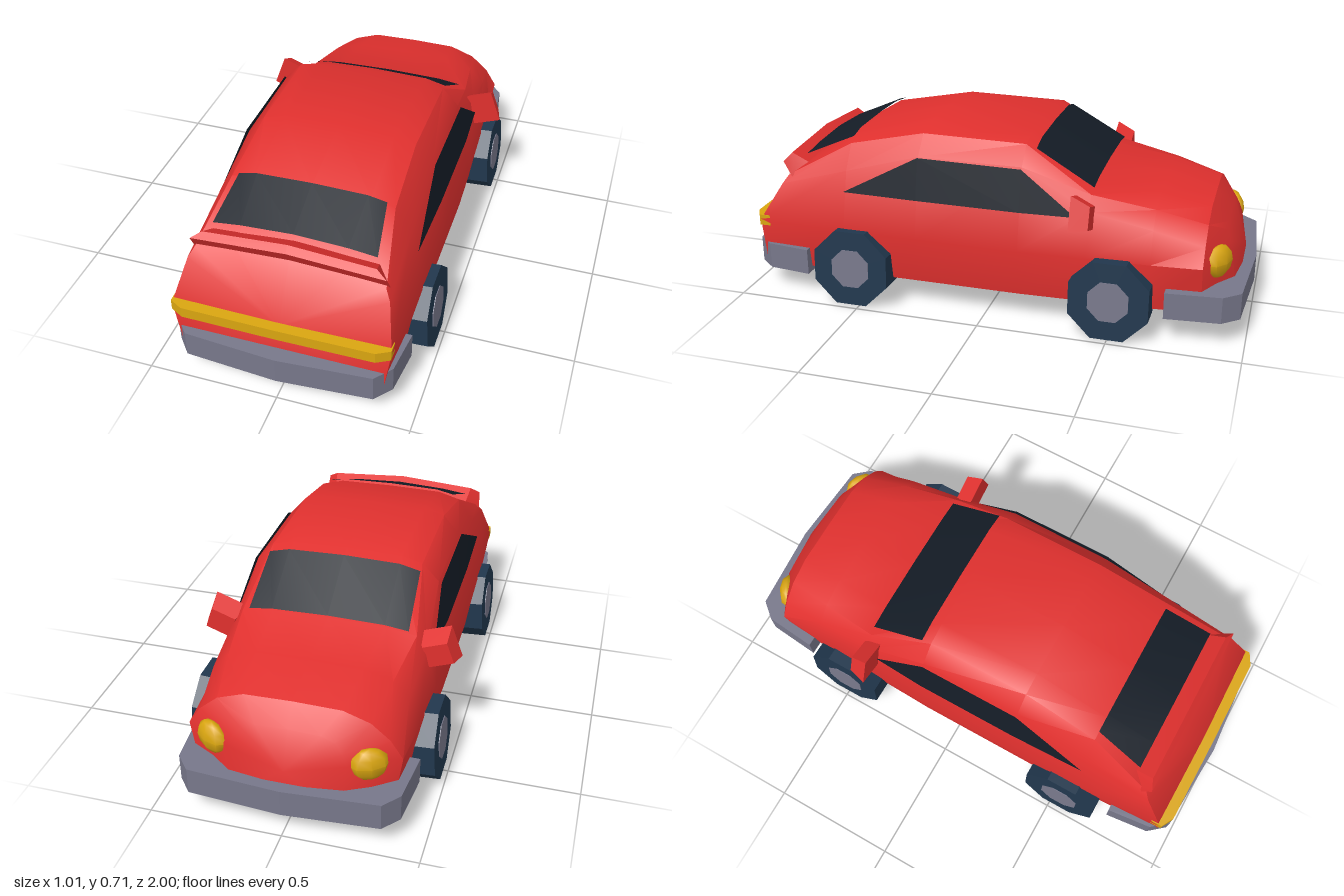
import * as THREE from 'three';
import { toCreasedNormals } from 'three/addons/utils/BufferGeometryUtils.js';

const mat = (color, side = THREE.FrontSide) => new THREE.MeshStandardMaterial({ color, side });
const red = mat(0xe0302e);
const glass = mat(0x141c26, THREE.DoubleSide);
const tyreMat = mat(0x21374d);
const grey = mat(0x77778a);
const yellow = mat(0xd9a510);

// Surface through rows of [x, y, z] points; wrap closes each row into a ring
function sheet(rows, wrap = false, crease = 0.55) {
  const n = rows[0].length;
  const pos = [];
  for (let i = 0; i < rows.length - 1; i++) {
    for (let j = 0; j < (wrap ? n : n - 1); j++) {
      const k = (j + 1) % n;
      const [a, b, c, d] = [rows[i][j], rows[i + 1][j], rows[i + 1][k], rows[i][k]];
      pos.push(...a, ...b, ...c, ...a, ...c, ...d);
    }
  }
  const g = new THREE.BufferGeometry();
  g.setAttribute('position', new THREE.Float32BufferAttribute(pos, 3));
  return toCreasedNormals(g, crease);
}

// Closed solid through rings, each end fanned to a centre point
function loft(rings, ends, crease) {
  const mid = (r) => [0, 1, 2].map((k) => r.reduce((s, p) => s + p[k], 0) / r.length);
  const last = rings[rings.length - 1];
  const [c0, c1] = ends ?? [mid(rings[0]), mid(last)];
  return sheet([rings[0].map(() => c0), ...rings, last.map(() => c1)], true, crease);
}

const mirrorRow = (half) => [...half, ...half.slice(0, -1).reverse().map(([x, y, z]) => [-x, y, z])];

// Stations from tail to nose: z, sill half-width, shoulder x y, roof edge x y, top x y
const STATIONS = [
  [0.94, 0.41, 0.375, 0.45, 0.355, 0.485, 0.2, 0.505],
  [0.57, 0.43, 0.37, 0.53, 0.31, 0.625, 0.22, 0.65],
  [0.27, 0.43, 0.365, 0.615, 0.30, 0.69, 0.215, 0.71],
  [-0.14, 0.43, 0.365, 0.615, 0.30, 0.685, 0.215, 0.705],
  [-0.40, 0.42, 0.38, 0.47, 0.34, 0.525, 0.22, 0.545],
  [-0.64, 0.41, 0.37, 0.42, 0.31, 0.48, 0.2, 0.513],
  [-0.83, 0.395, 0.35, 0.37, 0.28, 0.43, 0.18, 0.465],
  [-0.95, 0.22, 0.2, 0.34, 0.17, 0.375, 0.12, 0.39],
];

function bodyGeometry() {
  const rings = STATIONS.map(([z, w, sx, sy, rx, ry, tx, ty], i) => {
    // the tail leans forward above the lamp strip, the nose leans back
    const lean = (y) => {
      if (i === 0) return z - Math.max(0, y - 0.31) * 0.65;
      if (i === STATIONS.length - 1) return z + Math.max(0, y - 0.2) * 0.3;
      return z;
    };
    const half = [[0.93 * w, 0.11], [w, 0.3], [sx, sy], [rx, ry], [tx, ty], [0, ty + 0.004]];
    return mirrorRow(half.map(([x, y]) => [x, y, lean(y)]));
  });
  return loft(rings, [[0, 0.31, 0.94], [0, 0.26, -0.955]], 0.6);
}

// Bumper: plan outline extruded upward; dir is +1 at the tail, -1 at the nose
function bumperGeometry(dir, inner, y) {
  const half = [[0.43, inner], [0.41, 0.91], [0.355, 0.975], [0, 1]];
  const outline = mirrorRow(half.map(([x, z]) => [x, z, 0]));
  const shape = new THREE.Shape(outline.map(([x, z]) => new THREE.Vector2(x, -z * dir)));
  const g = new THREE.ExtrudeGeometry(shape, { depth: 0.105, bevelEnabled: false });
  g.rotateX(-Math.PI / 2);
  g.translate(0, y, 0);
  return g;
}

function octagonDisc(radius, width) {
  const g = new THREE.CylinderGeometry(radius, radius, width, 8);
  g.rotateY(Math.PI / 8);
  g.rotateZ(Math.PI / 2);
  return toCreasedNormals(g, 0.5);
}

// Mirror housing: box narrowing toward the nose
function mirrorGeometry() {
  const g = new THREE.BoxGeometry(0.13, 0.133, 0.07).toNonIndexed();
  const p = g.attributes.position;
  for (let i = 0; i < p.count; i++) {
    if (p.getZ(i) < 0) p.setXYZ(i, p.getX(i) * 0.75, p.getY(i) * 0.65 - 0.01, p.getZ(i));
  }
  g.computeVertexNormals();
  return g;
}

export function createModel() {
  const model = new THREE.Group();
  const add = (name, geometry, material, parent = model) => {
    const mesh = new THREE.Mesh(geometry, material);
    mesh.name = name;
    parent.add(mesh);
    return mesh;
  };

  add('body', bodyGeometry(), red);
  add('rearBumper', bumperGeometry(1, 0.735, 0.09), grey);
  add('frontBumper', bumperGeometry(-1, 0.7, 0.1), grey);

  // Windscreen and rear window lie just above the body
  add('windscreen', sheet([
    mirrorRow([[0.3, 0.672, -0.18], [0.22, 0.692, -0.18], [0, 0.698, -0.18]]),
    mirrorRow([[0.31, 0.543, -0.405], [0.22, 0.555, -0.405], [0, 0.56, -0.405]]),
  ]), glass);
  add('rearWindow', sheet([
    mirrorRow([[0.305, 0.562, 0.765], [0.2, 0.575, 0.765], [0, 0.585, 0.765]]),
    mirrorRow([[0.28, 0.645, 0.57], [0.21, 0.66, 0.57], [0, 0.665, 0.57]]),
  ]), glass);

  // Tail spoiler, slightly raised in the middle
  const lip = [[0.31, 0.525, 0.755], [0.32, 0.565, 0.825], [0.36, 0.54, 0.845], [0.365, 0.48, 0.81]];
  add('spoiler', loft([1, 0, -1].map((s) =>
    lip.map(([x, y, z]) => [s * x, s ? y : y + 0.022, z])), null, 0.4), red);

  // Tail lamp strip with angled ends
  const strip = [[0.41, 0.945], [0.36, 0.972], [0, 0.975], [-0.36, 0.972], [-0.41, 0.945]];
  add('tailLampStrip', loft(strip.map(([x, z]) =>
    [[x, 0.318, 0.9], [x, 0.318, z], [x, 0.275, z], [x, 0.275, 0.9]]), null, 0.4), yellow);

  for (const s of [1, -1]) {
    const side = s > 0 ? 'left' : 'right';

    const rear = [s * 0.4, 0.452, 0.575];
    const front = [s * 0.398, 0.45, -0.355];
    add(side + 'SideWindow', sheet([
      [rear, [s * 0.377, 0.615, 0.27], [s * 0.377, 0.61, -0.14], front],
      [rear, [s * 0.409, 0.452, 0.27], [s * 0.409, 0.45, -0.14], front],
    ]), glass);

    const mirror = add(side + 'Mirror', mirrorGeometry(), red);
    mirror.position.set(s * 0.422, 0.476, -0.385);
    mirror.rotation.z = s * 0.35;

    const lampGeometry = toCreasedNormals(new THREE.SphereGeometry(1, 8, 6), 0.9);
    const lamp = add(side + 'Headlight', lampGeometry, yellow);
    lamp.scale.set(0.072, 0.064, 0.038);
    lamp.position.set(s * 0.288, 0.295, -0.877);
    lamp.rotation.y = s * -0.5;

    // Wheels lean in at the top
    for (const [end, z] of [['Rear', 0.53], ['Front', -0.5]]) {
      const wheel = new THREE.Group();
      wheel.name = side + end + 'Wheel';
      wheel.position.set(s * 0.418, 0.156, z);
      wheel.rotation.z = s * 0.06;
      add('tyre', octagonDisc(0.164, 0.11), tyreMat, wheel);
      add('hub', octagonDisc(0.083, 0.116), grey, wheel);
      model.add(wheel);
    }
  }
  return model;
}
